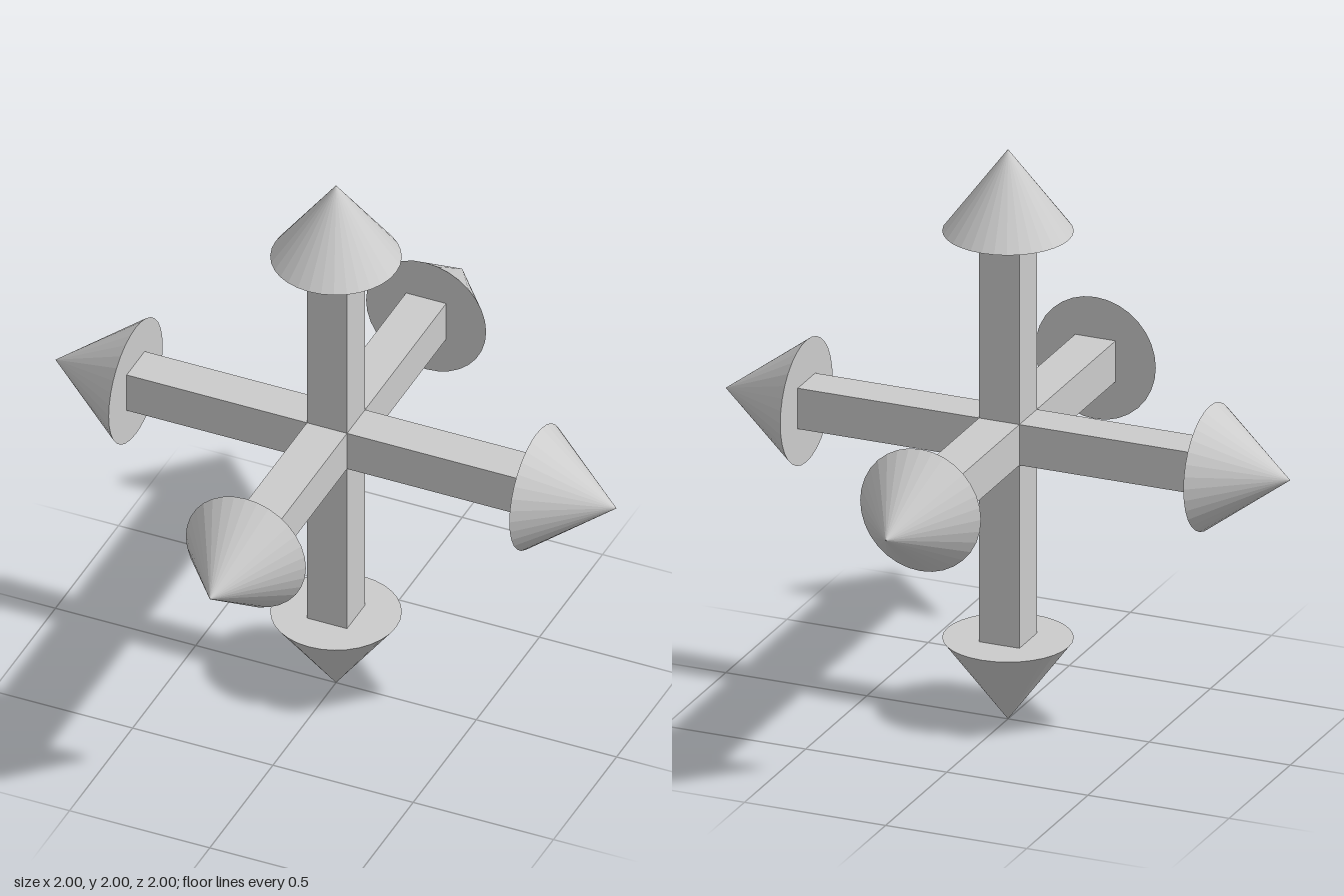
import * as THREE from 'three';

const HEAD_LENGTH = 0.286;
const HEAD_RADIUS = 0.214;
const SHAFT_WIDTH = 0.143;
const REACH = 1;

export function createModel() {
  const model = new THREE.Group();
  model.name = 'axisArrows';
  const material = new THREE.MeshStandardMaterial({ color: 0xcccccc, flatShading: true });

  const shaftLength = 2 * (REACH - HEAD_LENGTH);
  const shaftGeometry = new THREE.BoxGeometry(SHAFT_WIDTH, shaftLength, SHAFT_WIDTH);
  const headGeometry = new THREE.ConeGeometry(HEAD_RADIUS, HEAD_LENGTH, 32);
  headGeometry.translate(0, REACH - HEAD_LENGTH / 2, 0);

  // One double-ended arrow, built along y and turned onto each axis
  function doubleArrow(name, rx, rz) {
    const arrow = new THREE.Group();
    arrow.name = name;
    const shaft = new THREE.Mesh(shaftGeometry, material);
    shaft.name = 'shaft';
    arrow.add(shaft);
    for (const turn of [0, Math.PI]) {
      const head = new THREE.Mesh(headGeometry, material);
      head.name = 'arrowhead';
      head.rotation.x = turn;
      arrow.add(head);
    }
    arrow.rotation.set(rx, 0, rz);
    arrow.position.y = REACH;
    model.add(arrow);
  }

  doubleArrow('verticalArrow', 0, 0);
  doubleArrow('sidewaysArrow', 0, -Math.PI / 2);
  doubleArrow('frontBackArrow', Math.PI / 2, 0);

  return model;
}
